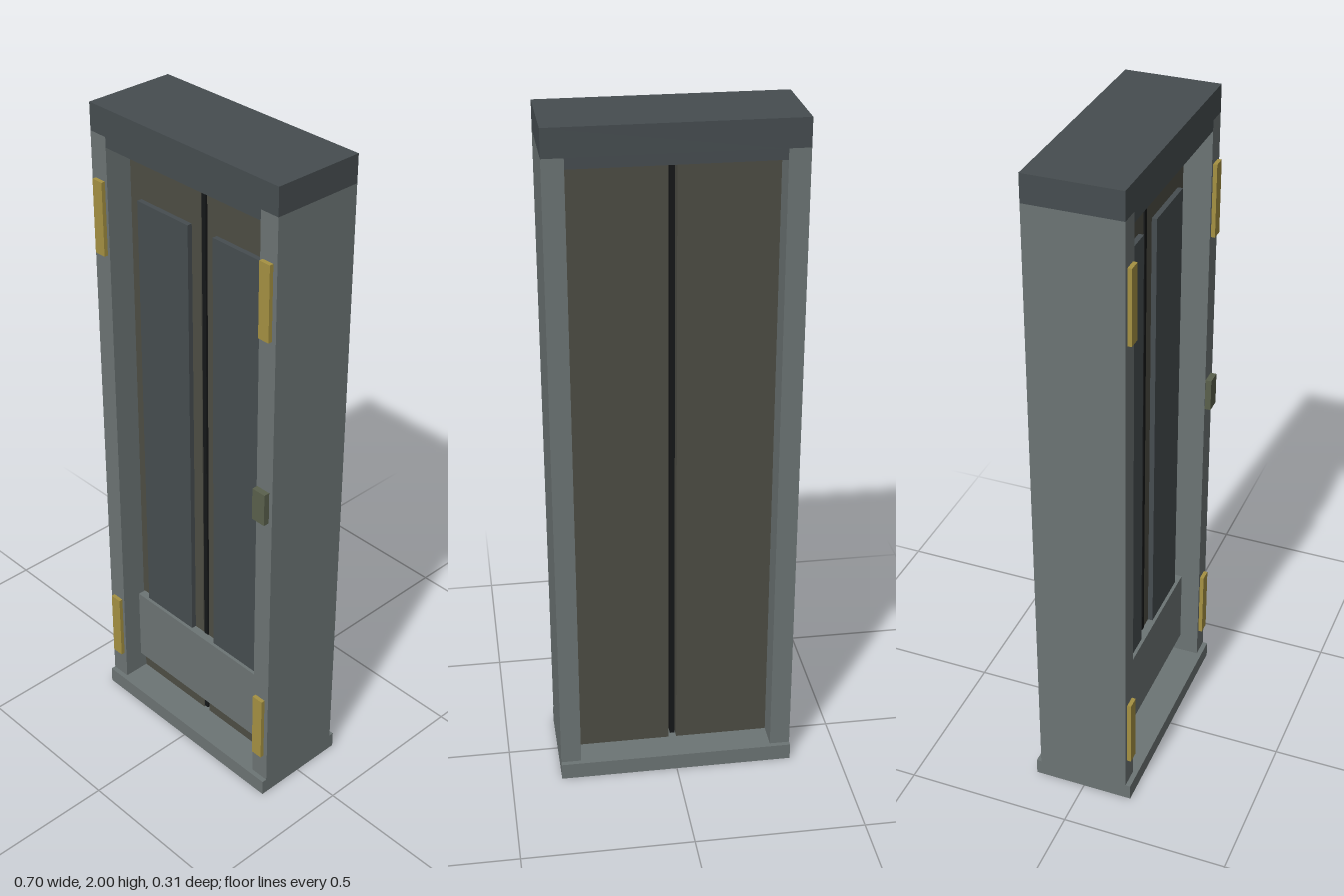
import * as THREE from 'three';

const mat = (color) => new THREE.MeshStandardMaterial({ color });
const frameMat = mat(0x6c7474);
const darkMat = mat(0x464d50);
const doorMat = mat(0x4d4d44);
const sealMat = mat(0x151718);
const brassMat = mat(0xa59142);
const buttonMat = mat(0x5a604c);

// Box given by its extents on each axis
function box(name, material, [x0, x1], [y0, y1], [z0, z1]) {
  const mesh = new THREE.Mesh(new THREE.BoxGeometry(x1 - x0, y1 - y0, z1 - z0), material);
  mesh.position.set((x0 + x1) / 2, (y0 + y1) / 2, (z0 + z1) / 2);
  mesh.name = name;
  return mesh;
}

export function createModel() {
  const model = new THREE.Group();
  model.name = 'doubleDoorway';

  const W = 0.35, inner = 0.29;
  const back = -0.14, front = 0.135;
  const doorBack = -0.06, doorFront = 0.053;

  // Threshold, slightly deeper than the frame
  model.add(box('sill', frameMat, [-W, W], [0, 0.05], [-0.155, 0.15]));

  // Header with a lip that drops between the posts
  const profile = new THREE.Shape([
    [-W, 1.92], [-inner, 1.92], [-inner, 1.89], [inner, 1.89],
    [inner, 1.92], [W, 1.92], [W, 2], [-W, 2],
  ].map(([x, y]) => new THREE.Vector2(x, y)));
  const header = new THREE.Mesh(
    new THREE.ExtrudeGeometry(profile, { depth: front - back, bevelEnabled: false }), darkMat);
  header.position.z = back;
  header.name = 'header';
  model.add(header);

  for (const [side, s] of [['left', 1], ['right', -1]]) {
    const span = (a, b) => (s > 0 ? [a, b] : [-b, -a]);

    // Frame post
    model.add(box(side + 'Post', frameMat, span(inner, W), [0.05, 1.92], [back, front]));

    // Door leaf with raised panel
    const door = new THREE.Group();
    door.name = side + 'Door';
    door.add(box('leaf', doorMat, span(0.012, inner), [0.05, 1.89], [doorBack, doorFront]));
    door.add(box('raisedPanel', darkMat, span(0.048, 0.248), [0.35, 1.73], [doorFront, doorFront + 0.015]));
    model.add(door);

    // Hinge plates on the post
    for (const [level, y] of [['Lower', 0.14], ['Upper', 1.57]]) {
      model.add(box(side + level + 'Hinge', brassMat, span(0.299, 0.336), [y, y + 0.22], [front, 0.147]));
    }
  }

  // Narrow seal standing in the gap between the doors
  model.add(box('centerSeal', sealMat, [-0.007, 0.007], [0.06, 1.88], [-0.055, 0.055]));

  // Kick plate across both doors
  model.add(box('kickPlate', frameMat, [-0.285, 0.285], [0.115, 0.36], [doorFront, doorFront + 0.025]));

  // Call button on the left post
  model.add(box('callButton', buttonMat, [0.292, 0.338], [1.005, 1.105], [front, 0.153]));

  return model;
}
